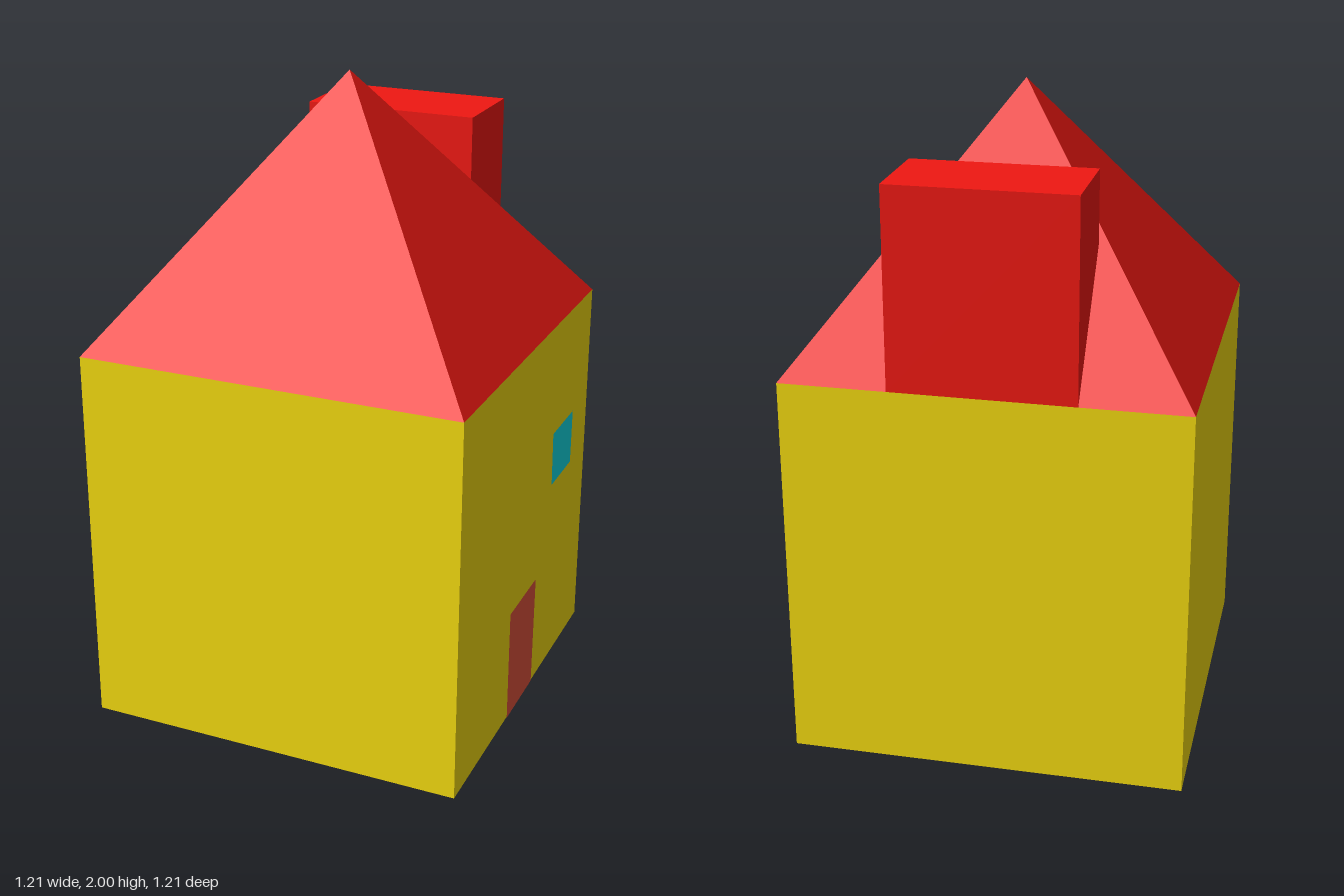
import * as THREE from 'three';

const HALF = 0.605, EAVES = 1.21, PEAK = 2;

const paint = (color, extra = {}) => new THREE.MeshStandardMaterial({ color, flatShading: true, ...extra });

// Outline given as [depth towards the back, height]
const outline = (points) => new THREE.Shape(points.map(([back, y]) => new THREE.Vector2(back, y)));

export function createModel() {
  const house = new THREE.Group();
  house.name = 'house';
  const add = (name, geometry, material) => {
    const mesh = new THREE.Mesh(geometry, material);
    mesh.name = name;
    house.add(mesh);
  };
  const red = paint(0xf01812);

  // Square walls
  add('walls', new THREE.BoxGeometry(2 * HALF, EAVES, 2 * HALF).translate(0, EAVES / 2, 0), paint(0xf2d910));

  // Four-sided pyramid roof, open where it rests on the walls
  const rise = PEAK - EAVES;
  add('roof', new THREE.ConeGeometry(HALF * Math.SQRT2, rise, 4, 1, true)
    .rotateY(Math.PI / 4).translate(0, EAVES + rise / 2, 0), red);

  // Wide chimney, flush with the back wall, its foot following the roof slope
  const front = 0.31, top = 1.815, width = 0.555;
  const foot = PEAK - rise * front / HALF;
  add('chimney', new THREE.ExtrudeGeometry(
    outline([[HALF, EAVES], [HALF, top], [front, top], [front, foot]]),
    { depth: width, bevelEnabled: false },
  ).rotateY(Math.PI / 2).translate(-width / 2, 0, 0), red);

  // Flat, slightly crooked door and window on the left wall
  const panel = (name, points, color) => add(name,
    new THREE.ShapeGeometry(outline(points)).rotateY(Math.PI / 2).translate(HALF + 0.002, 0, 0),
    paint(color, { side: THREE.DoubleSide }));
  panel('door', [[-0.135, 0], [0.107, 0], [0.112, 0.377], [-0.138, 0.377]], 0xde523b);
  panel('window', [[0.239, 0.658], [0.439, 0.658], [0.441, 0.84], [0.232, 0.84]], 0x11d9e2);

  return house;
}
